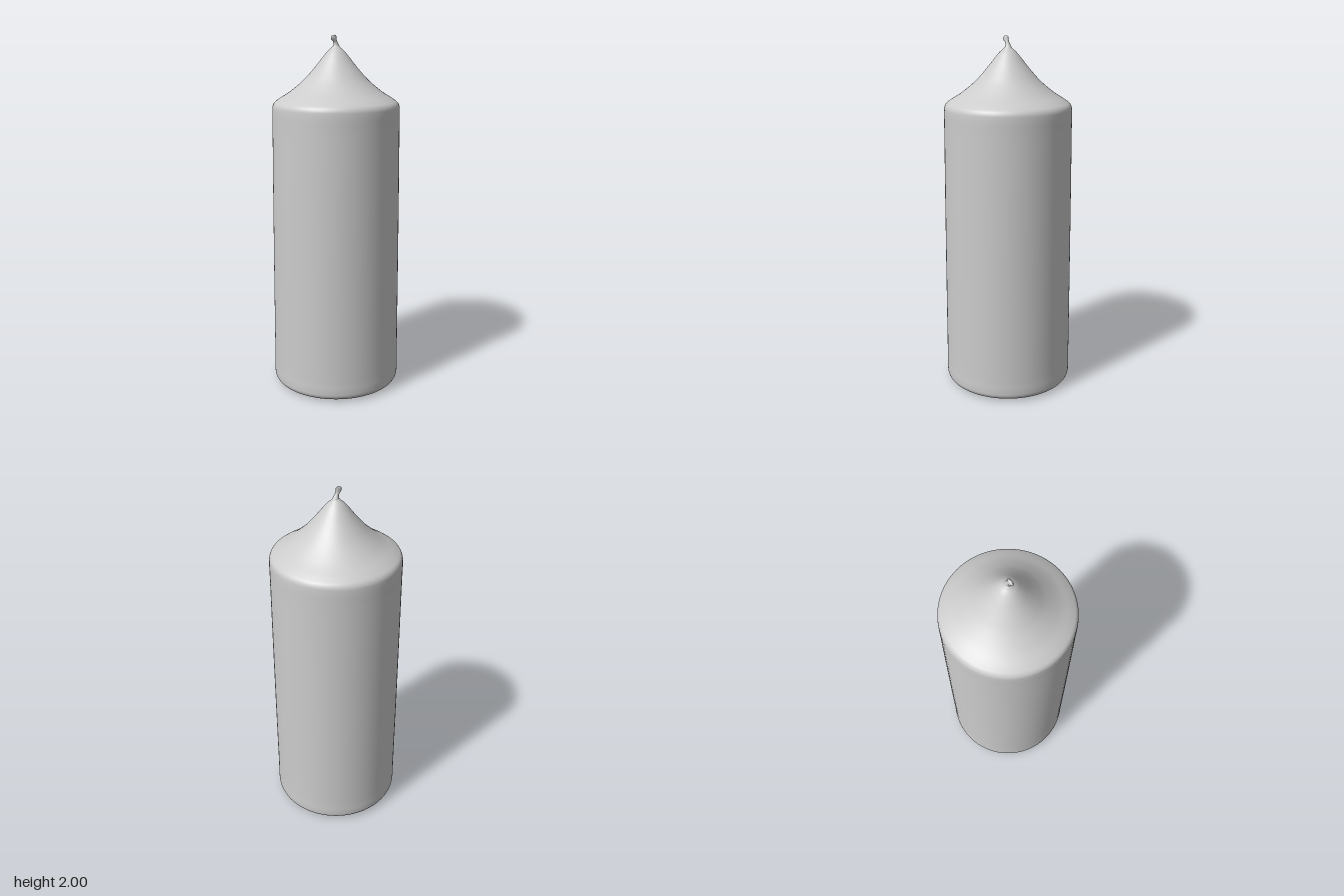
import * as THREE from 'three';

const material = new THREE.MeshStandardMaterial({ color: 0xcccccc });
const SIDES = 96;

function addMesh(group, name, geometry) {
  const mesh = new THREE.Mesh(geometry, material);
  mesh.name = name;
  group.add(mesh);
  return mesh;
}

// Smooth lathe through [radius, height] points, listed from bottom to top
function turned(points, steps) {
  const curve = new THREE.CatmullRomCurve3(
    points.map(([r, y]) => new THREE.Vector3(r, y, 0)), false, 'centripetal');
  const profile = curve.getPoints(steps).map((p) => new THREE.Vector2(Math.max(p.x, 0), p.y));
  return new THREE.LatheGeometry(profile, SIDES);
}

export function createModel() {
  const model = new THREE.Group();
  model.name = 'candle';

  // Wax pillar: rounded foot, slight taper, rounded shoulder and concave cone
  addMesh(model, 'waxBody', turned([
    [0.33, 0.008], [0.35, 0.015], [0.362, 0.032], [0.365, 0.06], [0.364, 0.12],
    [0.361, 0.6], [0.357, 1.1], [0.353, 1.5], [0.352, 1.6], [0.349, 1.622],
    [0.34, 1.638], [0.318, 1.655], [0.25, 1.699], [0.18, 1.757], [0.135, 1.805],
    [0.1, 1.847], [0.07, 1.885], [0.045, 1.914], [0.027, 1.93], [0.014, 1.942], [0, 1.947],
  ], 160));

  // Flat underside
  const base = addMesh(model, 'underside', new THREE.CircleGeometry(0.331, SIDES));
  base.rotation.x = Math.PI / 2;
  base.position.y = 0.008;

  // Soft uneven foot edge that reaches the ground
  addMesh(model, 'foot', turned([[0, 0], [0.2, 0.001], [0.3, 0.004], [0.335, 0.011]], 16));

  // Wick: elliptical rings swept along a short leaning path, [x, y, halfX, halfZ]
  const rings = [
    [0.002, 1.925, 0.026, 0.024], [0.002, 1.942, 0.017, 0.016], [-0.002, 1.956, 0.012, 0.013],
    [-0.008, 1.967, 0.012, 0.011], [-0.016, 1.976, 0.018, 0.01], [-0.018, 1.986, 0.02, 0.009],
    [-0.016, 1.994, 0.017, 0.007], [-0.013, 1.999, 0.009, 0.004], [-0.012, 2, 0, 0],
  ];
  const wick = new THREE.CylinderGeometry(1, 1, 1, 24, rings.length - 1, true);
  const pos = wick.attributes.position;
  for (let i = 0; i < pos.count; i++) {
    const row = Math.round((pos.getY(i) + 0.5) * (rings.length - 1));
    const [x, y, halfX, halfZ] = rings[row];
    pos.setXYZ(i, x + pos.getX(i) * halfX, y, pos.getZ(i) * halfZ);
  }
  wick.computeVertexNormals();
  addMesh(model, 'wick', wick);

  return model;
}
